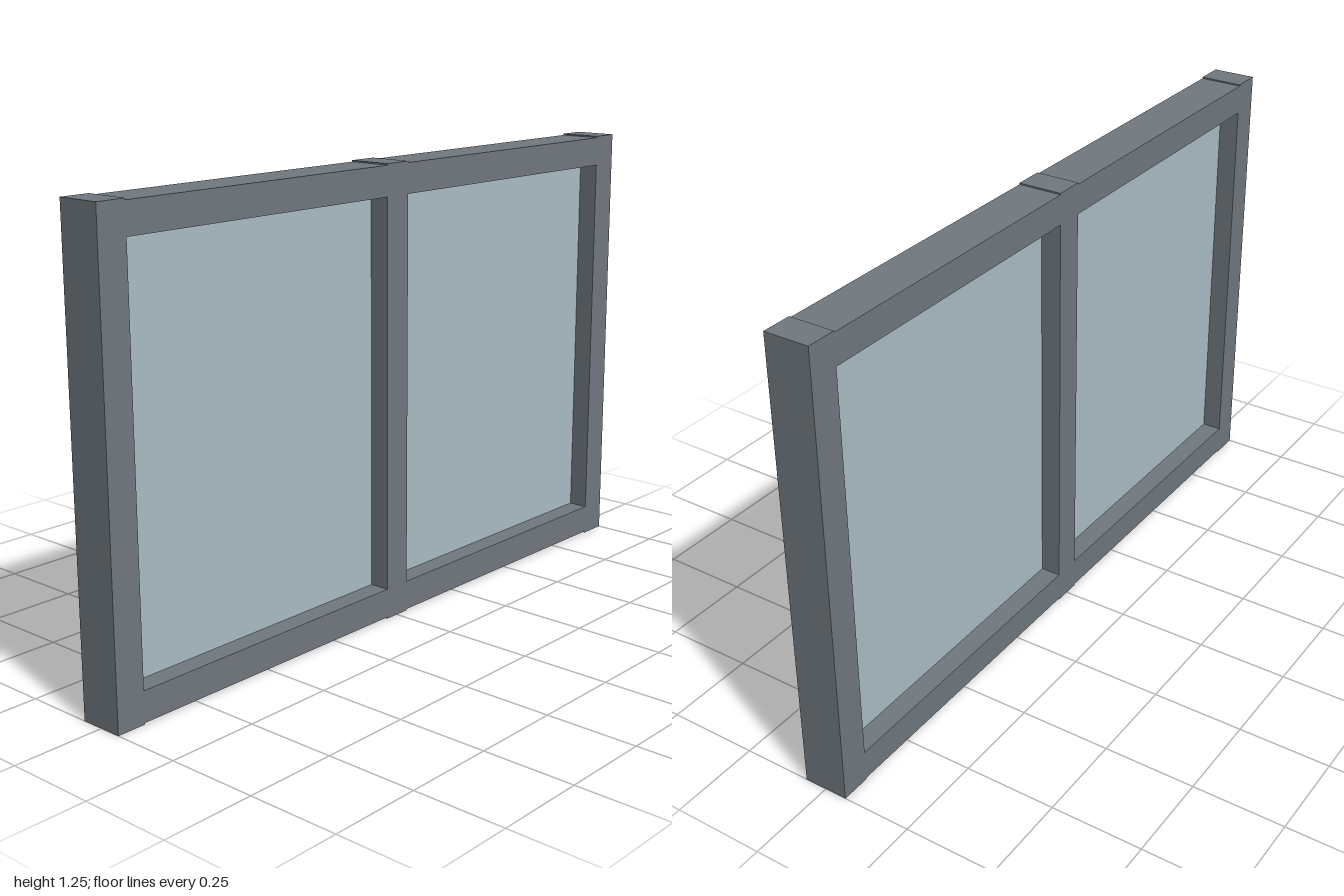
import * as THREE from 'three';

const HEIGHT = 1.25, DEPTH = 0.123, BAR = 0.082, LIP = 0.004;

export function createModel() {
  const model = new THREE.Group();
  model.name = 'window';

  const frameMat = new THREE.MeshStandardMaterial({ color: 0x70787e });
  frameMat.name = 'grey frame';
  const glassMat = new THREE.MeshStandardMaterial({ color: 0xabbbc5 });
  glassMat.name = 'pale blue glass';

  const addBox = (name, material, w, h, d, x, y) => {
    const mesh = new THREE.Mesh(new THREE.BoxGeometry(w, h, d), material);
    mesh.name = name;
    mesh.position.set(x, y, 0);
    model.add(mesh);
  };

  // Uprights: two jambs and the central mullion, full height
  const postX = 1 - BAR / 2;
  addBox('leftJamb', frameMat, BAR, HEIGHT, DEPTH, postX, HEIGHT / 2);
  addBox('rightJamb', frameMat, BAR, HEIGHT, DEPTH, -postX, HEIGHT / 2);
  addBox('mullion', frameMat, BAR, HEIGHT, DEPTH, 0, HEIGHT / 2);

  // Rails and panes between the uprights, rails set in slightly at top and bottom
  const inner = BAR / 2, outer = 1 - BAR;
  const paneW = outer - inner, paneX = (outer + inner) / 2;
  const paneH = HEIGHT - 2 * (BAR + LIP);
  for (const [side, s] of [['left', 1], ['right', -1]]) {
    addBox(side + 'Sill', frameMat, paneW, BAR, DEPTH, s * paneX, LIP + BAR / 2);
    addBox(side + 'Head', frameMat, paneW, BAR, DEPTH, s * paneX, HEIGHT - LIP - BAR / 2);
    addBox(side + 'Pane', glassMat, paneW, paneH, 0.009, s * paneX, HEIGHT / 2);
  }
  return model;
}
